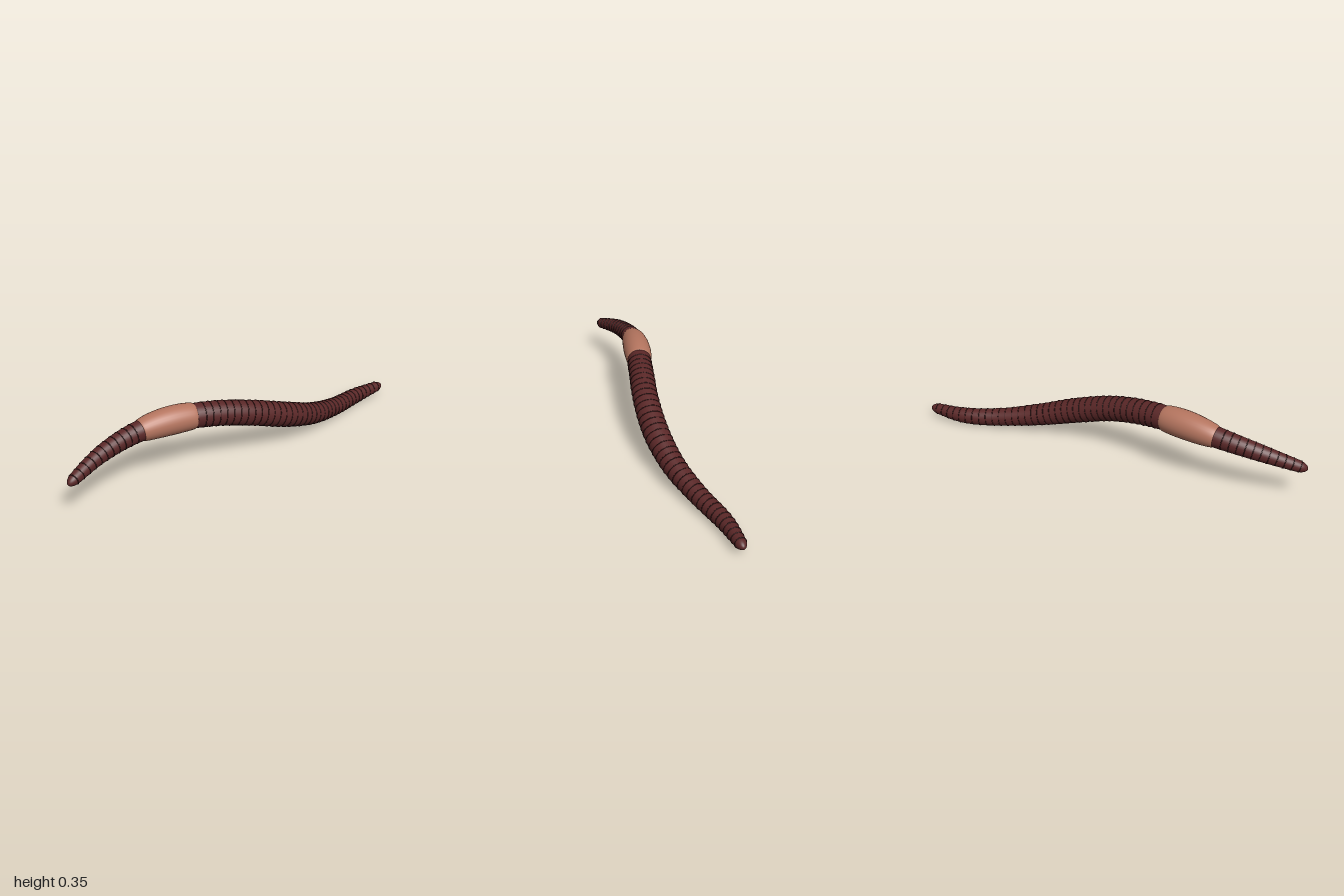
import * as THREE from 'three';

// Centreline stations evenly spaced along x from -1 to 1: [y, z, radius]
const stations = [
  [0.165, 0.0, 0.025], [0.225, -0.053, 0.039], [0.264, -0.07, 0.049],
  [0.281, -0.043, 0.058], [0.268, 0.0, 0.061], [0.225, 0.04, 0.062],
  [0.16, 0.054, 0.062], [0.098, 0.035, 0.055], [0.059, -0.012, 0.046],
  [0.045, -0.06, 0.04], [0.052, -0.066, 0.024],
];
const spine = new THREE.CatmullRomCurve3(
  stations.map(([y, z], i) => new THREE.Vector3(-1 + i * 0.2, y, z)), false, 'catmullrom', 0.5);
const girth = new THREE.CatmullRomCurve3(
  stations.map(([, , r], i) => new THREE.Vector3(i, r, 0)), false, 'catmullrom', 0.5);

// Body radius at x, rounded off at both tips
function bodyRadius(x) {
  const nose = 0.045;
  const d = Math.min(1, Math.max(0, 1 - Math.abs(x)) / nose);
  return girth.getPoint((x + 1) / 2).y * Math.sqrt(1 - (1 - d) ** 2);
}

// Position and cross-section axes of the spine at x
function frameAt(x) {
  const t = THREE.MathUtils.clamp((x + 1) / 2, 0, 1);
  const tangent = spine.getTangent(t).normalize();
  const side = new THREE.Vector3().crossVectors(tangent, new THREE.Vector3(0, 1, 0)).normalize();
  const up = new THREE.Vector3().crossVectors(side, tangent);
  return { centre: spine.getPoint(t), tangent, side, up };
}

// Sweep circles along the spine, with rows packed closer near the ends
function sweep(x0, x1, rows, sides, radius) {
  const positions = [], index = [];
  for (let i = 0; i <= rows; i++) {
    const x = x0 + (x1 - x0) * (0.5 - 0.5 * Math.cos(Math.PI * i / rows));
    const { centre, side, up } = frameAt(x);
    const r = Math.max(radius(x), 0.0005);
    for (let j = 0; j < sides; j++) {
      const a = j / sides * Math.PI * 2;
      const p = centre.clone().addScaledVector(side, Math.cos(a) * r).addScaledVector(up, Math.sin(a) * r);
      positions.push(p.x, p.y, p.z);
      if (i < rows) {
        const k = (j + 1) % sides, a0 = i * sides + j, b0 = i * sides + k;
        index.push(a0, b0, a0 + sides, b0, b0 + sides, a0 + sides);
      }
    }
  }
  const geometry = new THREE.BufferGeometry();
  geometry.setAttribute('position', new THREE.Float32BufferAttribute(positions, 3));
  // Wind the faces so that they look outwards
  for (let i = 0; i < index.length; i += 3) {
    const [a, b, c] = [0, 1, 2].map(k => new THREE.Vector3().fromArray(positions, index[i + k] * 3));
    const normal = b.clone().sub(a).cross(c.clone().sub(a));
    if (normal.dot(a.clone().add(b).add(c).divideScalar(3).sub(frameAt((a.x + b.x + c.x) / 3).centre)) < 0)
      [index[i + 1], index[i + 2]] = [index[i + 2], index[i + 1]];
  }
  geometry.setIndex(index);
  geometry.computeVertexNormals();
  return geometry;
}

export function createModel() {
  const skin = new THREE.MeshStandardMaterial({ color: 0x5a2727 });
  const saddleSkin = new THREE.MeshStandardMaterial({ color: 0xb5755f });
  const groove = new THREE.MeshStandardMaterial({ color: 0x3a1818 });
  skin.name = 'dark red skin';
  saddleSkin.name = 'pale saddle skin';
  groove.name = 'groove brown';

  const worm = new THREE.Group();
  worm.name = 'earthworm';
  const add = (name, geometry, material, parent = worm) => {
    const mesh = new THREE.Mesh(geometry, material);
    mesh.name = name;
    parent.add(mesh);
    return mesh;
  };

  add('body', sweep(-1, 1, 140, 28, bodyRadius), skin);

  // Smooth swollen band around the front third
  const s0 = -0.575, s1 = -0.305;
  add('saddle', sweep(s0, s1, 40, 32, x => bodyRadius(x) +
    0.012 * Math.sqrt(Math.max(0, Math.sin(Math.PI * (x - s0) / (s1 - s0))))), saddleSkin);

  // Fine rings dividing the body into segments
  const rings = new THREE.Group();
  rings.name = 'segmentRings';
  worm.add(rings);
  const forward = new THREE.Vector3(0, 0, 1);
  for (let i = 0; i < 56; i++) {
    const x = -0.965 + i * 0.035;
    if (x > s0 - 0.01 && x < s1 + 0.01) continue;
    const { centre, tangent } = frameAt(x);
    const ring = add('segmentRing', new THREE.TorusGeometry(bodyRadius(x), 0.0022, 6, 32), groove, rings);
    ring.position.copy(centre);
    ring.quaternion.setFromUnitVectors(forward, tangent);
  }
  return worm;
}
